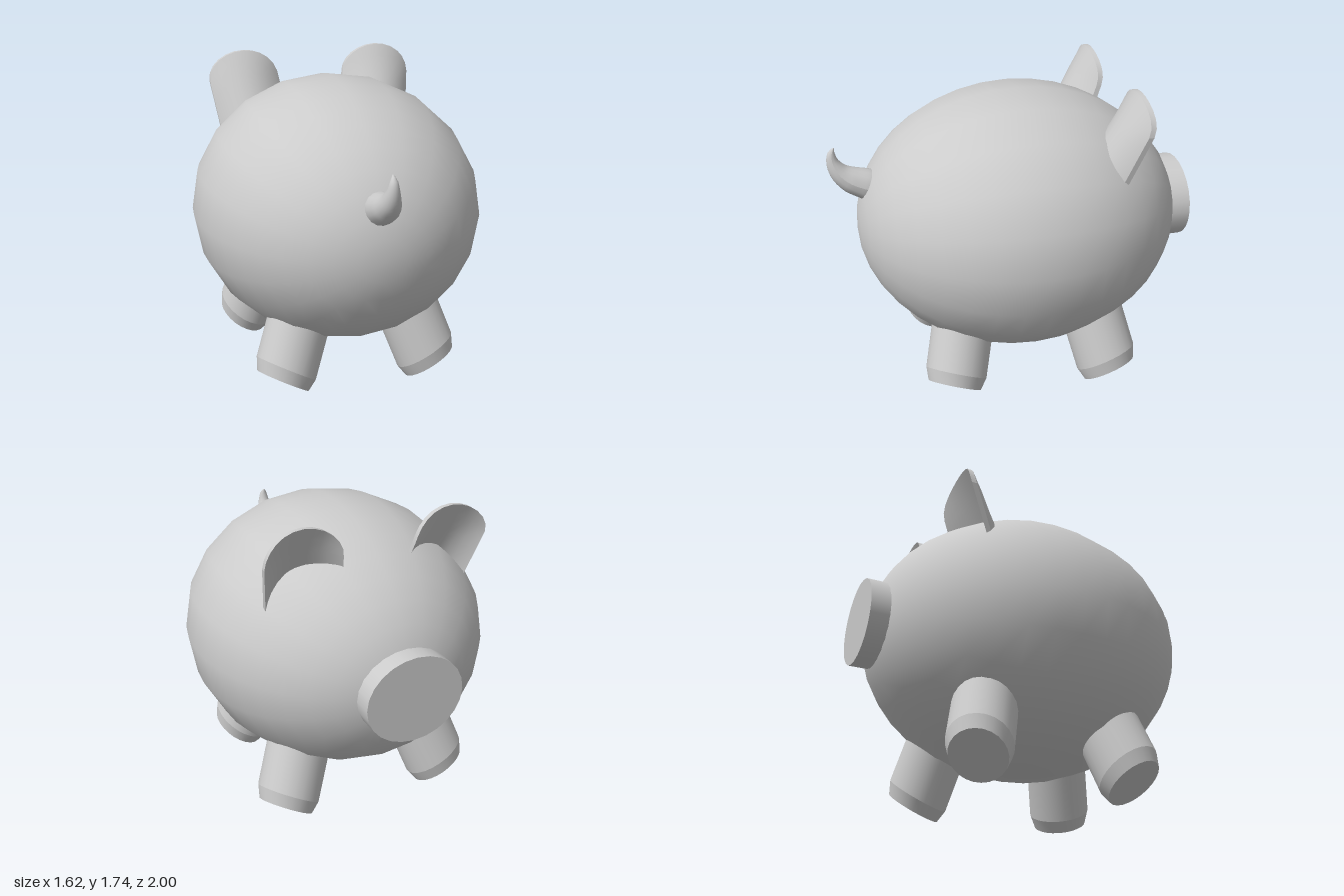
import * as THREE from 'three';
import { toCreasedNormals } from 'three/addons/utils/BufferGeometryUtils.js';

const material = new THREE.MeshStandardMaterial({ color: 0xcccccc });

function part(name, geometry, parent) {
  const mesh = new THREE.Mesh(geometry, material);
  mesh.name = name;
  parent.add(mesh);
  return mesh;
}

// Calls rule(vertex, index) on every vertex and writes the moved vertex back
function moveVertices(geometry, rule) {
  const pos = geometry.attributes.position;
  const v = new THREE.Vector3();
  for (let i = 0; i < pos.count; i++) {
    rule(v.fromBufferAttribute(pos, i), i);
    pos.setXYZ(i, v.x, v.y, v.z);
  }
  geometry.computeVertexNormals();
  return geometry;
}

// Stubby leg with a bevelled foot, standing along +y from its sole
function legGeometry() {
  const profile = [[0, 0], [0.15, 0], [0.172, 0.06], [0.172, 0.42], [0, 0.42]];
  const lathe = new THREE.LatheGeometry(profile.map(([r, y]) => new THREE.Vector2(r, y)), 24);
  return toCreasedNormals(lathe, 0.3);
}

// Cupped ear: a thin slab with a rounded top, hollow towards the snout
function earGeometry(side) {
  const slab = new THREE.BoxGeometry(2, 1, 1, 12, 8, 1);
  return moveVertices(slab, (v) => {
    const u = Math.sin(v.x * Math.PI / 2);
    const top = 1.57 + 0.175 * Math.sqrt(Math.max(0, 1 - u * u));
    const y = THREE.MathUtils.lerp(1.25, top, v.y + 0.5);
    const rise = y - 1.5;
    const cup = 0.12 - 0.2 * rise;
    const thickness = 0.035 * (0.5 - v.z);
    v.set(
      side * (0.395 + 0.15 * Math.min(rise, 0.08)) + u * 0.207,
      y,
      -0.42 - 0.6 * rise - cup * u * u - (v.z > 0 ? 0 : 0.03 - 0.4 * thickness * Math.max(0, rise))
    );
  });
}

// Tail: a tube that curls upward and tapers to a point
function tailGeometry() {
  const path = new THREE.CatmullRomCurve3(
    [[1.16, 0.7], [1.2, 0.8], [1.235, 0.88], [1.28, 0.935], [1.345, 0.968], [1.395, 0.97], [1.425, 0.955]]
      .map(([y, z]) => new THREE.Vector3(0, y, z)));
  const radii = [0.088, 0.085, 0.072, 0.054, 0.033, 0.02, 0.002];
  const steps = 24, sides = 16;
  const tube = new THREE.TubeGeometry(path, steps, 1, sides);
  return moveVertices(tube, (v, i) => {
    const t = path.getUtoTmapping(Math.floor(i / (sides + 1)) / steps) * (radii.length - 1);
    const k = Math.min(Math.floor(t), radii.length - 2);
    const r = THREE.MathUtils.lerp(radii[k], radii[k + 1], t - k);
    const centre = path.getPoint(t / (radii.length - 1));
    v.sub(centre).multiplyScalar(r).add(centre);
  });
}

export function createModel() {
  const model = new THREE.Group();
  model.name = 'pig';

  // Egg-like body with its poles along z
  const body = new THREE.SphereGeometry(1, 20, 20);
  body.rotateX(Math.PI / 2).scale(0.812, 0.736, 0.905).translate(0, 0.94, -0.04);
  part('body', body, model);

  // Flat oval snout
  const snout = new THREE.CylinderGeometry(1, 1, 0.2, 24);
  snout.rotateX(Math.PI / 2).scale(0.267, 0.234, 1).translate(0, 0.934, -0.9);
  part('snout', snout, model);

  // Legs splay outward; each is stretched a little in height
  const leg = legGeometry();
  const up = new THREE.Vector3(0, 1, 0);
  for (const side of [-1, 1]) {
    const label = side > 0 ? 'left' : 'right';
    for (const [end, x, z] of [['Tail', 0.43, 0.425], ['Snout', 0.485, -0.475]]) {
      const group = new THREE.Group();
      group.name = `${label}${end}EndLeg`;
      group.position.set(side * x, 0.095, z);
      group.scale.y = 1.28;
      const axis = new THREE.Vector3(-side * 0.46, 1, -Math.sign(z) * 0.31).normalize();
      part('leg', leg, group).quaternion.setFromUnitVectors(up, axis);
      model.add(group);
    }
    part(`${label}Ear`, earGeometry(side), model);
  }

  part('tail', tailGeometry(), model);
  return model;
}
